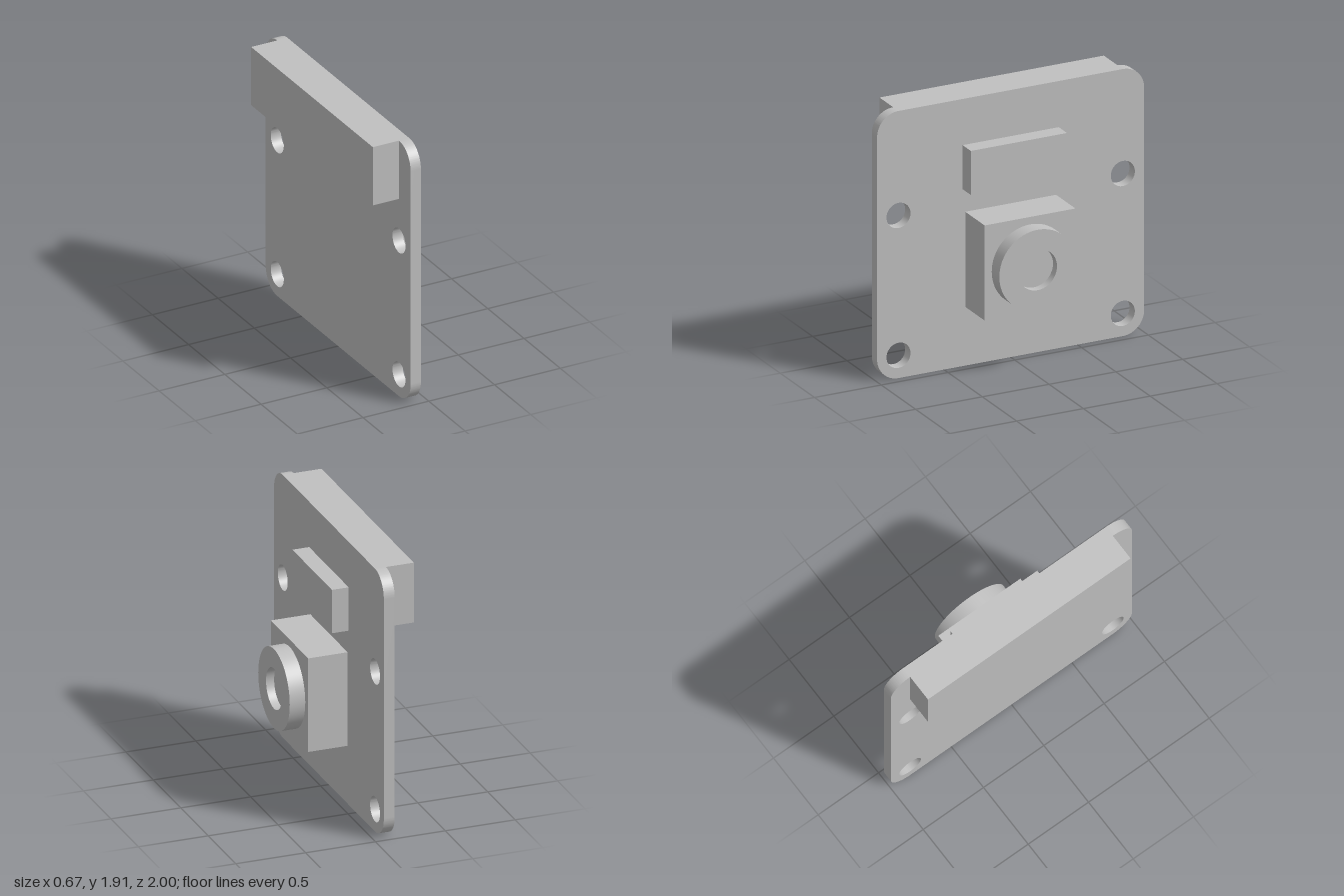
import * as THREE from 'three';
import { toCreasedNormals } from 'three/addons/utils/BufferGeometryUtils.js';

export function createModel() {
  const group = new THREE.Group();
  const grey = new THREE.MeshStandardMaterial({ color: 0xc0c0c0 });
  grey.name = 'plain grey';

  function add(name, geometry) {
    const mesh = new THREE.Mesh(geometry, grey);
    mesh.name = name;
    group.add(mesh);
  }

  // Box centred on z, given by its x and y ranges and its width along z
  function block(name, x0, x1, y0, y1, width) {
    const geometry = new THREE.BoxGeometry(x1 - x0, y1 - y0, width);
    geometry.translate((x0 + x1) / 2, (y0 + y1) / 2, 0);
    add(name, geometry);
  }

  // Profile in the z-y plane, extruded from x0 to x1
  function plate(name, shape, x0, x1) {
    const geometry = new THREE.ExtrudeGeometry(shape, {
      depth: x1 - x0, bevelEnabled: false, curveSegments: 32,
    });
    geometry.rotateY(Math.PI / 2).translate(x0, 0, 0);
    add(name, toCreasedNormals(geometry, 0.6));
  }

  const circle = (path, u, v, r) => path.absarc(u, v, r, 0, Math.PI * 2, false);

  // Circuit board with rounded corners and four mounting holes
  const height = 1.91, r = 0.16, c = 1 - r;
  const board = new THREE.Shape();
  board.absarc(c, r, r, -Math.PI / 2, 0, false);
  board.absarc(c, height - r, r, 0, Math.PI / 2, false);
  board.absarc(-c, height - r, r, Math.PI / 2, Math.PI, false);
  board.absarc(-c, r, r, Math.PI, Math.PI * 1.5, false);
  board.closePath();
  for (const u of [-0.84, 0.84]) {
    for (const v of [0.163, 1.163]) board.holes.push(circle(new THREE.Path(), u, v, 0.09));
  }
  plate('circuitBoard', board, -0.138, -0.06);

  // Parts mounted on the board
  block('rearConnector', -0.337, -0.138, 1.475, height, 1.68);
  block('frontConnector', -0.06, 0.06, 1.265, 1.58, 0.72);
  block('cameraHousing', -0.06, 0.222, 0.42, 1.1, 0.68);

  // Lens barrel with a recessed centre
  const ring = circle(new THREE.Shape(), 0, 0.76, 0.287);
  ring.holes.push(circle(new THREE.Path(), 0, 0.76, 0.145));
  plate('lensBarrel', ring, 0.222, 0.333);
  plate('lensRecess', circle(new THREE.Shape(), 0, 0.76, 0.145), 0.222, 0.275);

  return group;
}
